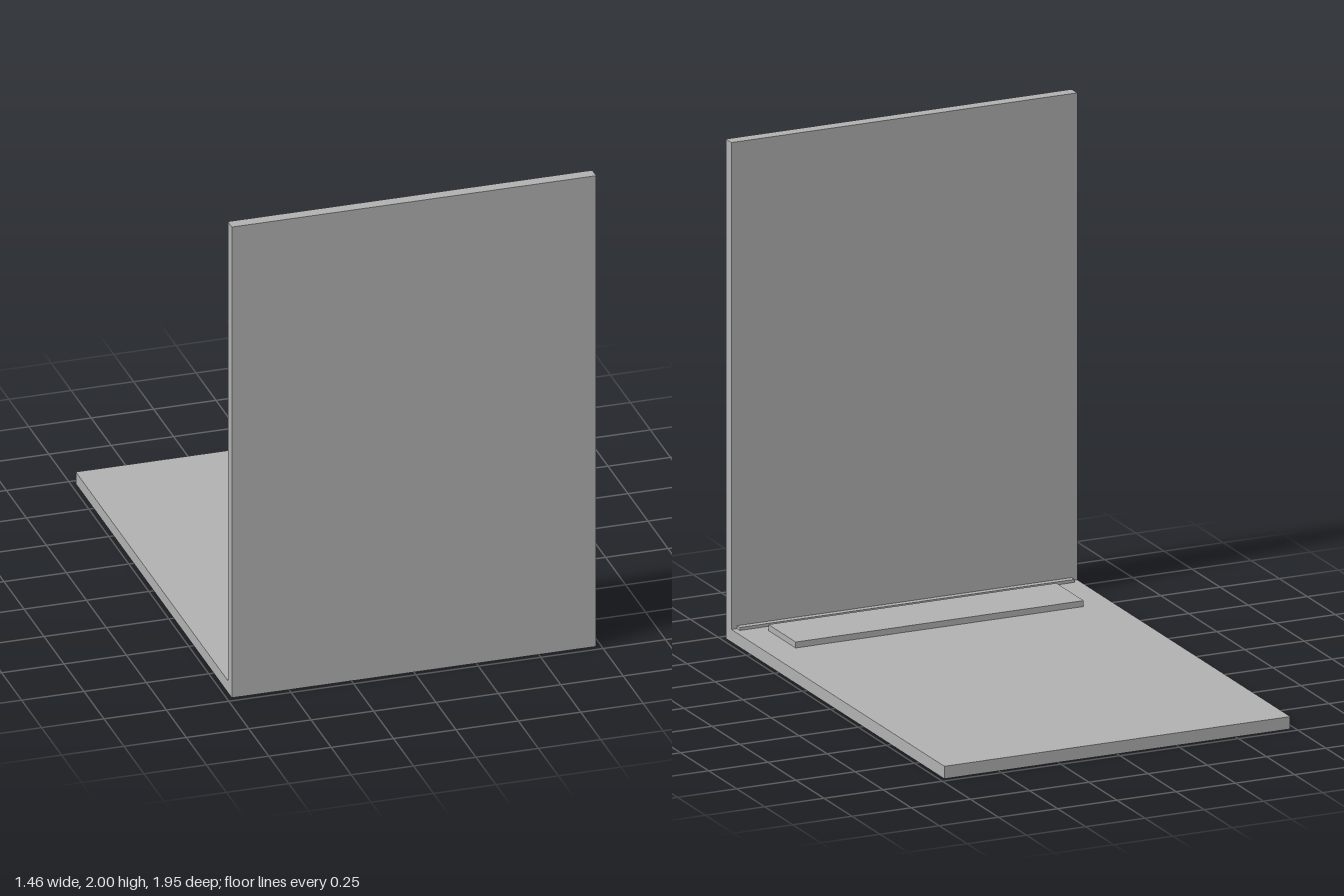
import * as THREE from 'three';

export function createModel() {
  const group = new THREE.Group();
  const grey = new THREE.MeshStandardMaterial({ color: 0xb2b2b2 });
  grey.name = 'plain grey';

  const add = (name, geometry) => {
    const mesh = new THREE.Mesh(geometry, grey);
    mesh.name = name;
    group.add(mesh);
    return mesh;
  };

  // L-shaped bracket: side profile in (z, y), extruded across the width
  const width = 1.46, depth = 0.975, thick = 0.05, height = 2;
  const profile = new THREE.Shape([
    [-depth, 0], [depth, 0], [depth, height],
    [depth - thick, height], [depth - thick, thick], [-depth, thick],
  ].map(([z, y]) => new THREE.Vector2(z, y)));
  const bracket = new THREE.ExtrudeGeometry(profile, { depth: width, bevelEnabled: false });
  bracket.translate(0, 0, -width / 2).rotateY(-Math.PI / 2);
  add('basePlateAndUprightPanel', bracket);

  // Raised parts resting on the base plate
  const raised = (name, w, h, zBack, zFront) =>
    add(name, new THREE.BoxGeometry(w, h, zFront - zBack))
      .position.set(0, thick + h / 2, (zBack + zFront) / 2);
  raised('raisedPad', 1.216, 0.024, 0.61, 0.853);
  raised('hingeStrip', 1.412, 0.012, 0.9, depth - thick);

  return group;
}
